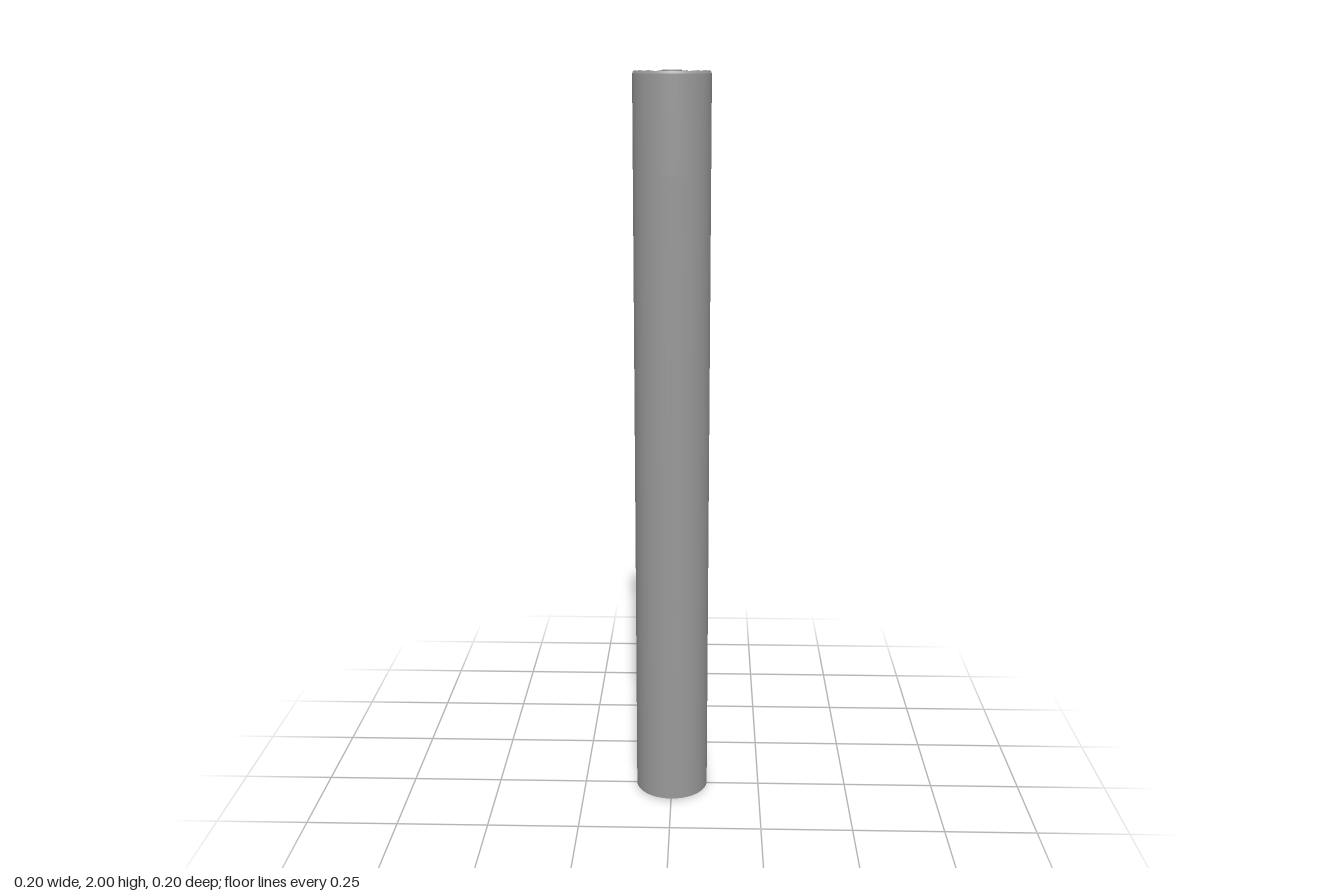
import * as THREE from 'three';

const SIDES = 40, R = 0.101, STEP = Math.PI * 2 / SIDES, WINDOW = 2;
const GREY = 0x999999;
const smooth = new THREE.MeshStandardMaterial({ color: GREY, side: THREE.DoubleSide });
const faceted = new THREE.MeshStandardMaterial({ color: GREY, flatShading: true });

function add(parent, name, geometry, material) {
  const mesh = new THREE.Mesh(geometry, material);
  mesh.name = name;
  parent.add(mesh);
  return mesh;
}

// Open band of wall, optionally leaving out a few facets as a window
function wallBand(parent, y0, y1, gap = null) {
  const start = gap === null ? 0 : gap + WINDOW;
  const count = gap === null ? SIDES : SIDES - WINDOW;
  const g = new THREE.CylinderGeometry(R, R, y1 - y0, count, 1, true, start * STEP, count * STEP);
  g.translate(0, (y0 + y1) / 2, 0);
  add(parent, gap === null ? 'wall' : 'windowedWall', g, smooth);
}

// Wedge-shaped blade along +x, twisted about its own length and widening outwards
function bladeGeometry(r0, r1, fill, pitch, thickness, twist) {
  const g = new THREE.BoxGeometry(r1 - r0, thickness, 1);
  g.translate((r0 + r1) / 2, 0, 0);
  const p = g.attributes.position;
  for (let i = 0; i < p.count; i++) {
    p.setZ(i, p.getZ(i) * p.getX(i) * pitch * fill);
  }
  g.rotateX(twist);
  g.computeVertexNormals();
  return g;
}

function bladeRing(parent, name, y, n, r0, r1, fill, thickness, twist, phase = 0) {
  const ring = new THREE.Group();
  ring.name = name;
  const pitch = Math.PI * 2 / n;
  const g = bladeGeometry(r0, r1, fill, pitch, thickness, twist);
  for (let i = 0; i < n; i++) {
    const blade = add(ring, 'blade', g, faceted);
    blade.position.y = y;
    blade.rotation.y = (i + phase) * pitch;
  }
  parent.add(ring);
}

// Stepped ring with a hard edge at every profile point
function lathe(parent, name, points) {
  const g = new THREE.LatheGeometry(points.map(([r, y]) => new THREE.Vector2(r, y)), 24);
  const flat = g.toNonIndexed();
  flat.computeVertexNormals();
  add(parent, name, flat, smooth);
}

export function createModel() {
  const model = new THREE.Group();
  model.name = 'turbineTube';

  // Long tube with two small windows on opposite sides
  const tube = new THREE.Group();
  tube.name = 'tube';
  wallBand(tube, 0.004, 1.742);
  wallBand(tube, 1.742, 1.783, 10);
  wallBand(tube, 1.783, 1.895);
  wallBand(tube, 1.895, 1.935, 30);
  wallBand(tube, 1.935, 1.99);
  model.add(tube);

  // Narrow bevel at the mouth of the tube
  const bevel = new THREE.CylinderGeometry(0.0985, R, 0.006, SIDES, 1, true);
  bevel.translate(0, 1.993, 0);
  add(model, 'bevel', bevel, smooth);

  // Central shaft, just proud of the tube at the bottom
  const shaft = new THREE.CylinderGeometry(0.018, 0.018, 1.97, 16);
  shaft.translate(0, 0.985, 0);
  add(model, 'shaft', shaft, smooth);

  // Plate closing the tube under the blades
  const plate = new THREE.CylinderGeometry(0.1, 0.1, 0.006, SIDES);
  plate.translate(0, 1.94, 0);
  add(model, 'backPlate', plate, faceted);

  // Lower stage, steeper and seen through the gaps of the upper one
  bladeRing(model, 'lowerOuterBlades', 1.96, 18, 0.066, 0.097, 0.8, 0.006, -1.0, 0);
  bladeRing(model, 'lowerInnerBlades', 1.962, 12, 0.034, 0.062, 0.8, 0.006, -1.0, 0);

  // Upper stage
  bladeRing(model, 'outerBlades', 1.9865, 18, 0.072, 0.0975, 0.76, 0.01, 0.65, 0.5);
  bladeRing(model, 'innerBlades', 1.987, 12, 0.036, 0.061, 0.6, 0.009, 0.35, 0.5);

  // Ring between the two sets of blades
  lathe(model, 'midRing', [[0.062, 1.943], [0.066, 1.943], [0.066, 1.976], [0.062, 1.976], [0.062, 1.943]]);

  // Stepped hub with a recessed centre
  lathe(model, 'hub', [
    [0.037, 1.943], [0.037, 1.989], [0.034, 1.993], [0.027, 1.993], [0.026, 1.997],
    [0.022, 1.998], [0.014, 1.992], [0.012, 1.985], [0, 1.985],
  ]);
  bladeRing(model, 'hubTeeth', 1.988, 8, 0.007, 0.0125, 0.5, 0.006, 0);
  const pin = new THREE.CylinderGeometry(0.004, 0.005, 0.01, 10);
  pin.translate(0, 1.99, 0);
  add(model, 'hubPin', pin, smooth);

  // Rounded lip on the hub, the highest point
  const lip = new THREE.TorusGeometry(0.024, 0.002, 6, 24);
  lip.rotateX(Math.PI / 2);
  lip.translate(0, 1.998, 0);
  add(model, 'hubLip', lip, smooth);

  return model;
}
